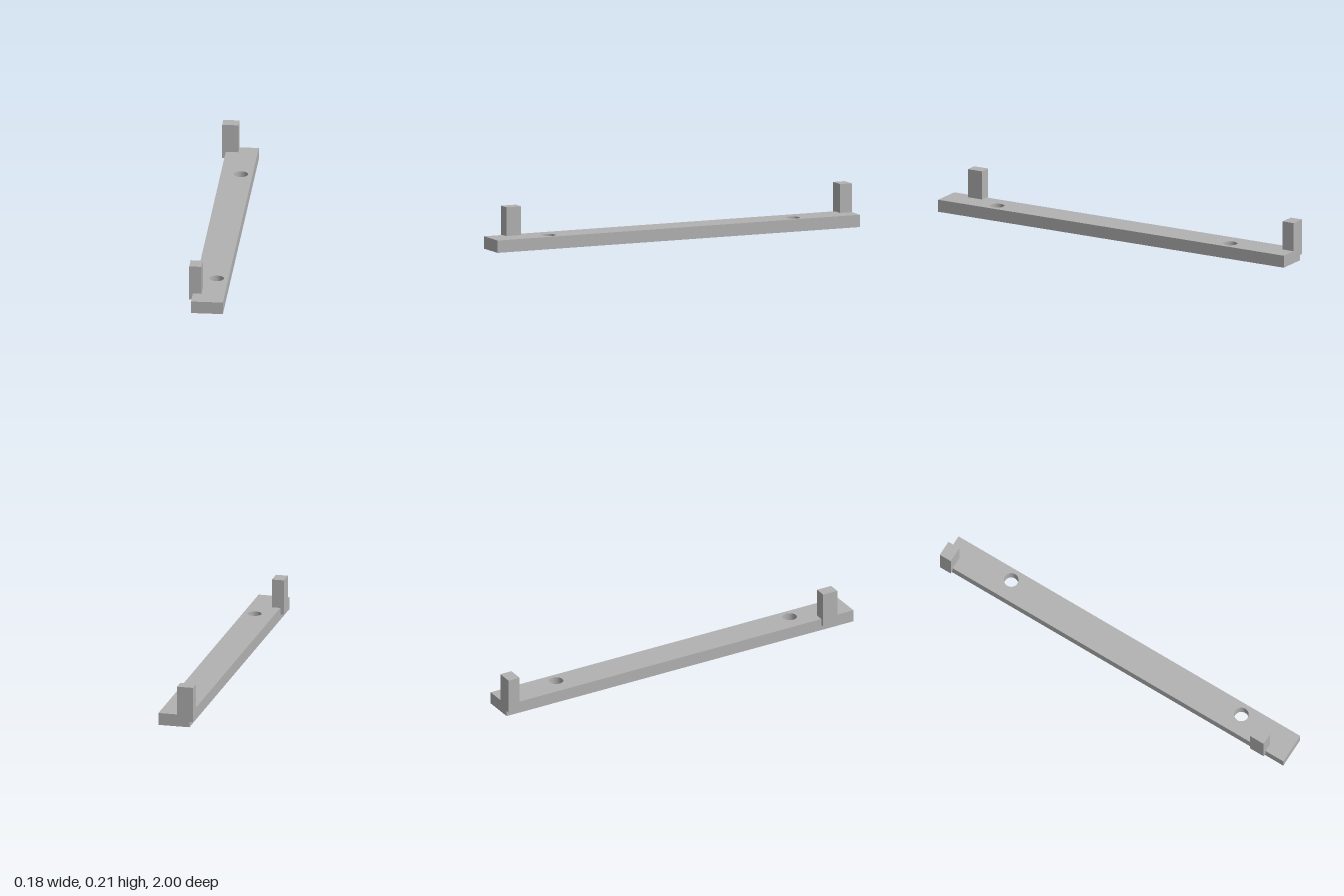
import * as THREE from 'three';

const grey = new THREE.MeshStandardMaterial({ color: 0xb2b2b2 });
grey.name = 'grey';

// Box given by its minimum and maximum corners
function post(name, [x0, y0, z0], [x1, y1, z1]) {
  const geometry = new THREE.BoxGeometry(x1 - x0, y1 - y0, z1 - z0);
  geometry.translate((x0 + x1) / 2, (y0 + y1) / 2, (z0 + z1) / 2);
  const mesh = new THREE.Mesh(geometry, grey);
  mesh.name = name;
  return mesh;
}

export function createModel() {
  const group = new THREE.Group();
  group.name = 'mountingBar';

  // Long flat bar with two round through holes
  const outline = new THREE.Shape([
    new THREE.Vector2(-0.071, -1), new THREE.Vector2(0.088, -1),
    new THREE.Vector2(0.088, 1), new THREE.Vector2(-0.071, 1),
  ]);
  for (const z of [-0.656, 0.692]) {
    outline.holes.push(new THREE.Path().absarc(0.03, -z, 0.036, 0, Math.PI * 2, true));
  }
  const barGeometry = new THREE.ExtrudeGeometry(outline, {
    depth: 0.062, bevelEnabled: false, curveSegments: 40,
  });
  barGeometry.rotateX(-Math.PI / 2);
  const bar = new THREE.Mesh(barGeometry, grey);
  bar.name = 'bar';
  group.add(bar);

  // Upright posts overhanging the right edge
  group.add(
    post('frontPost', [-0.089, 0.028, 0.815], [-0.028, 0.207, 0.896]),
    post('backPost', [-0.089, 0.028, -1], [-0.008, 0.207, -0.936]),
  );
  return group;
}
